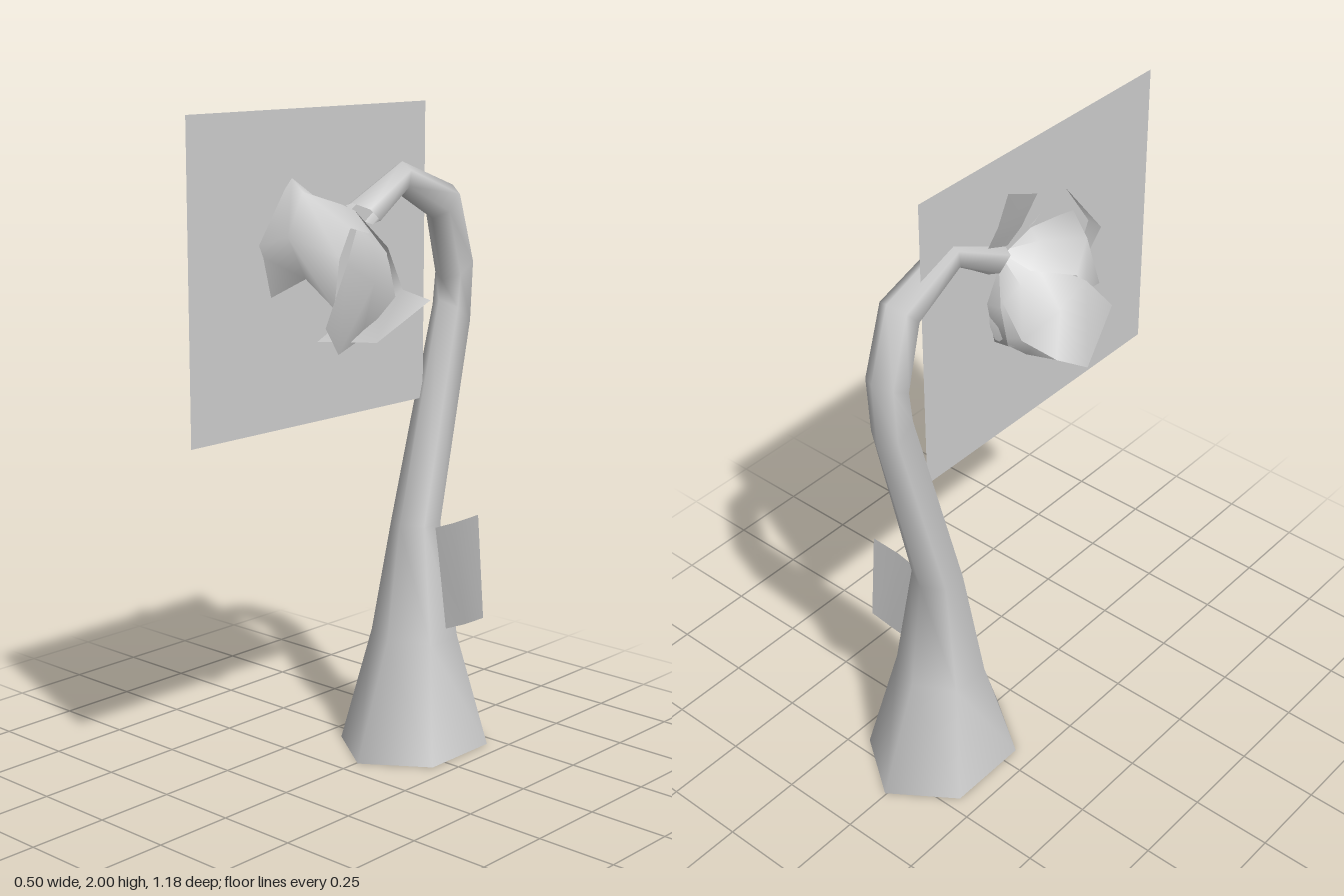
import * as THREE from 'three';

const grey = new THREE.MeshStandardMaterial({ color: 0xcccccc, side: THREE.DoubleSide });
grey.name = 'grey';

// Smooth sheet through equal rows of points; closed rows wrap into a tube
function loft(name, rows, closed = false) {
  const n = rows[0].length, index = [];
  for (let r = 0; r < rows.length - 1; r++) {
    for (let i = 0; i < (closed ? n : n - 1); i++) {
      const j = (i + 1) % n, a = r * n + i, b = r * n + j;
      index.push(a, b, b + n, a, b + n, a + n);
    }
  }
  const g = new THREE.BufferGeometry();
  g.setAttribute('position', new THREE.Float32BufferAttribute(rows.flat(2), 3));
  g.setIndex(index);
  g.computeVertexNormals();
  const mesh = new THREE.Mesh(g, grey);
  mesh.name = name;
  return mesh;
}

// Stem rings: back z, back y, front z, front y, half width
const stemRings = [
  [-0.59, 0, -0.06, 0, 0.22],
  [-0.45, 0.36, -0.195, 0.36, 0.14],
  [-0.40, 0.72, -0.25, 0.72, 0.078],
  [-0.545, 1.31, -0.425, 1.40, 0.058],
  [-0.555, 1.53, -0.437, 1.46, 0.058],
  [-0.485, 1.745, -0.39, 1.65, 0.055],
  [-0.25, 1.83, -0.235, 1.735, 0.045],
  [-0.03, 1.725, -0.12, 1.655, 0.06],
];

function stemRing([zb, yb, zf, yf, w]) {
  return Array.from({ length: 6 }, (_, i) => {
    const a = (i * Math.PI) / 3, t = (1 - Math.cos(a)) / 2;
    return [w * Math.sin(a) + 0.005, yb + (yf - yb) * t, zb + (zf - zb) * t];
  });
}

// Petals: rows of three points running from the stem end to the notched tip
const root = [0, 1.70, -0.05];
const petals = {
  frontPetal: [
    [[-0.02, 1.74, 0.08], [0.05, 1.73, 0.06], [0.12, 1.65, 0.02]],
    [[-0.01, 1.81, 0.20], [0.07, 1.78, 0.24], [0.165, 1.68, 0.15]],
    [[-0.055, 1.62, 0.335], [0.07, 1.66, 0.30], [0.17, 1.60, 0.20]],
    [[-0.02, 1.48, 0.28], [0.08, 1.54, 0.24], [0.15, 1.46, 0.20]],
  ],
  upperLeftPetal: [
    [[-0.01, 1.73, 0.07], [-0.06, 1.71, 0.05], [-0.09, 1.66, -0.02]],
    [[-0.02, 1.70, 0.25], [-0.11, 1.67, 0.20], [-0.17, 1.63, 0.08]],
    [[-0.03, 1.57, 0.27], [-0.12, 1.50, 0.25], [-0.19, 1.58, 0.10]],
  ],
  sidePetal: [
    [[-0.07, 1.67, 0.02], [-0.09, 1.63, -0.06], [-0.06, 1.58, -0.10]],
    [[-0.19, 1.61, 0.10], [-0.18, 1.56, 0.00], [-0.11, 1.47, -0.08]],
    [[-0.19, 1.47, 0.22], [-0.24, 1.37, 0.05], [-0.25, 1.48, -0.10]],
  ],
  lowerPetal: [
    [[-0.08, 1.62, 0.00], [-0.06, 1.58, -0.09], [0.01, 1.58, -0.12]],
    [[-0.17, 1.52, 0.10], [-0.13, 1.46, -0.02], [-0.03, 1.45, -0.10]],
    [[-0.18, 1.42, 0.16], [-0.09, 1.30, 0.10], [-0.06, 1.36, 0.00]],
  ],
  rightPetal: [
    [[0.10, 1.67, 0.05], [0.12, 1.62, 0.00], [0.09, 1.58, -0.09]],
    [[0.17, 1.58, 0.17], [0.175, 1.52, 0.06], [0.13, 1.46, -0.08]],
    [[0.155, 1.41, 0.24], [0.12, 1.32, 0.15], [0.10, 1.35, 0.03]],
  ],
  backPetal: [
    [[0.10, 1.60, -0.08], [0.03, 1.57, -0.125], [-0.06, 1.57, -0.11]],
    [[0.14, 1.48, -0.10], [0.06, 1.43, -0.10], [-0.06, 1.43, -0.08]],
    [[0.245, 1.46, -0.10], [0.22, 1.36, 0.10], [-0.05, 1.33, 0.09]],
  ],
};

export function createModel() {
  const model = new THREE.Group();
  model.name = 'droopingFlower';

  // Flared, curling stem
  model.add(loft('stem', stemRings.map(stemRing), true));

  // Nodding flower head
  const head = new THREE.Group();
  head.name = 'flowerHead';
  for (const [name, rows] of Object.entries(petals)) {
    head.add(loft(name, [[root, root, root], ...rows]));
  }
  model.add(head);

  // Small upright sepal at the neck
  model.add(loft('sepal', [
    [[-0.02, 1.74, -0.12], [-0.01, 1.70, -0.04]],
    [[-0.06, 1.83, -0.12], [-0.04, 1.77, 0.00]],
    [[-0.10, 1.95, -0.125], [-0.07, 1.87, 0.03]],
  ]));

  // Leaf on the side of the stem
  model.add(loft('leaf', [
    [[0.05, 0.70, -0.335], [0.11, 0.39, -0.335]],
    [[0.14, 0.735, -0.345], [0.185, 0.42, -0.35]],
    [[0.215, 0.77, -0.37], [0.245, 0.45, -0.365]],
  ]));

  // Flat upright panel through the flower
  const panel = new THREE.Mesh(new THREE.PlaneGeometry(0.97, 0.9), grey);
  panel.name = 'panel';
  panel.rotation.y = Math.PI / 2;
  panel.position.set(-0.017, 1.55, 0.107);
  model.add(panel);

  return model;
}
